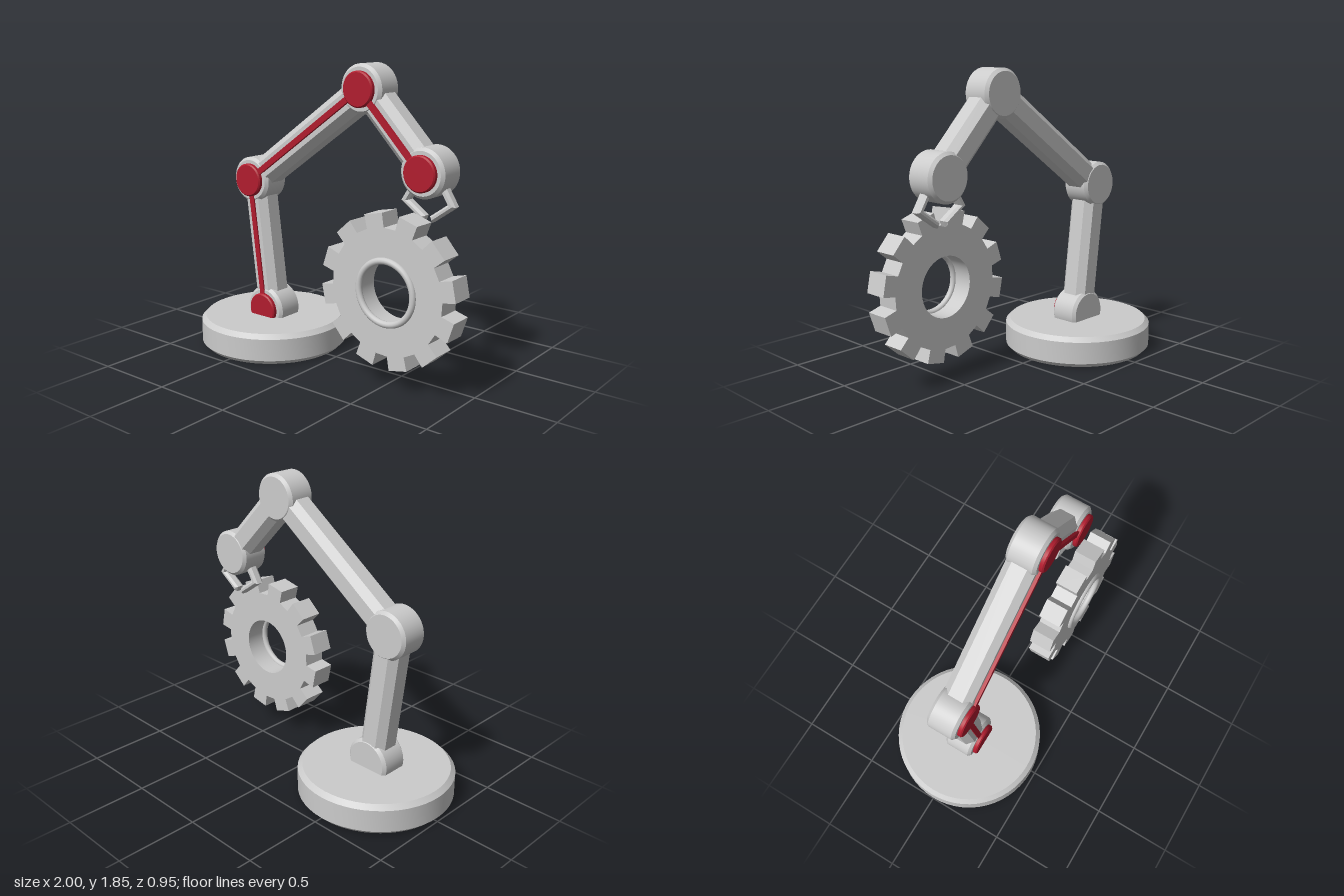
import * as THREE from 'three';
import { toCreasedNormals } from 'three/addons/utils/BufferGeometryUtils.js';

const grey = new THREE.MeshStandardMaterial({ color: 0xcccccc });
const red = new THREE.MeshStandardMaterial({ color: 0xb01c2e });

const V = (x, y) => new THREE.Vector2(x, y);

function add(parent, name, geometry, material = grey) {
  const mesh = new THREE.Mesh(geometry, material);
  mesh.name = name;
  parent.add(mesh);
  return mesh;
}

// Solid disc with chamfered rims, standing on y = 0
function chamferedDisc(r, h, c) {
  const profile = [V(0, 0), V(r - c, 0), V(r, c), V(r, h - c), V(r - c, h), V(0, h)];
  return toCreasedNormals(new THREE.LatheGeometry(profile, 56), 0.5);
}

// Eight-sided beam running along +x
function beam(length, half, flat) {
  const s = new THREE.Shape([
    V(half, -flat), V(half, flat), V(flat, half), V(-flat, half),
    V(-half, flat), V(-half, -flat), V(-flat, -half), V(flat, -half),
  ]);
  return new THREE.ExtrudeGeometry(s, { depth: length, bevelEnabled: false }).rotateY(Math.PI / 2);
}

function gearShape(teeth, outer, root, hole, offset) {
  const rad = THREE.MathUtils.degToRad;
  const points = [];
  for (let i = 0; i < teeth; i++) {
    const mid = offset + (i * 360) / teeth;
    for (const [r, a] of [[root, -9], [outer, -7.8], [outer, 7.8], [root, 9]]) {
      points.push(V(r * Math.cos(rad(mid + a)), r * Math.sin(rad(mid + a))));
    }
  }
  const shape = new THREE.Shape(points);
  shape.holes.push(new THREE.Path().absarc(0, 0, hole, 0, Math.PI * 2, true));
  return shape;
}

export function createModel() {
  const model = new THREE.Group();
  model.name = 'robotArm';

  // Round base
  add(model, 'base', chamferedDisc(0.475, 0.195, 0.028)).position.x = -0.525;

  // Joints with red caps on the front
  const joints = [V(-0.525, 0.235), V(-0.63, 1.08), V(0.245, 1.7), V(0.67, 1.26)];
  const names = ['baseJoint', 'elbowJoint', 'topJoint', 'wristJoint'];
  joints.forEach((p, i) => {
    const joint = new THREE.Group();
    joint.name = names[i];
    joint.position.set(p.x, p.y, 0);
    add(joint, 'hub', chamferedDisc(0.145, 0.19, 0.018).rotateX(Math.PI / 2).translate(0, 0, -0.095));
    add(joint, 'cap', chamferedDisc(0.105, 0.05, 0.008).rotateX(Math.PI / 2).translate(0, 0, 0.073), red);
    model.add(joint);
  });

  // Arm segments between joints, each with a red strip
  ['lowerArm', 'upperArm', 'foreArm'].forEach((name, i) => {
    const from = joints[i];
    const d = joints[i + 1].clone().sub(from);
    const length = d.length();
    const arm = new THREE.Group();
    arm.name = name;
    arm.position.set(from.x, from.y, 0);
    arm.rotation.z = Math.atan2(d.y, d.x);
    add(arm, 'beam', beam(length, 0.091, 0.048));
    const top = i === 0 ? 0.1 : 0.11;
    const strip = new THREE.BoxGeometry(length, 0.036, 0.04);
    add(arm, 'strip', strip.translate(length / 2, 0, top - 0.02), red);
    model.add(arm);
  });

  // Two bent gripper fingers, mirrored about the wrist
  for (const side of [-1, 1]) {
    const points = [[0.1, -0.05], [0.18, -0.18], [0.03, -0.285], [0.015, -0.25], [0.127, -0.172], [0.06, -0.06]]
      .map(([x, y]) => V(side * x, y));
    const finger = new THREE.ExtrudeGeometry(new THREE.Shape(points), {
      depth: 0.036, bevelThickness: 0.016, bevelSize: 0.012, bevelOffset: -0.012, bevelSegments: 1,
    });
    add(model, side < 0 ? 'rightFinger' : 'leftFinger', finger.translate(0, 0, -0.018))
      .position.set(0.67, 1.26, 0);
  }

  // Held gear with a rounded ring round the front of its bore
  const gear = new THREE.Group();
  gear.name = 'gear';
  gear.position.set(0.543, 0.588, 0);
  const wheel = new THREE.ExtrudeGeometry(gearShape(12, 0.458, 0.375, 0.185, 11.5), {
    depth: 0.145, bevelEnabled: false, curveSegments: 48,
  });
  add(gear, 'gearWheel', toCreasedNormals(wheel.translate(0, 0, 0.096), 0.3));
  add(gear, 'boreRing', new THREE.TorusGeometry(0.185, 0.02, 12, 56).translate(0, 0, 0.241));
  model.add(gear);

  return model;
}
